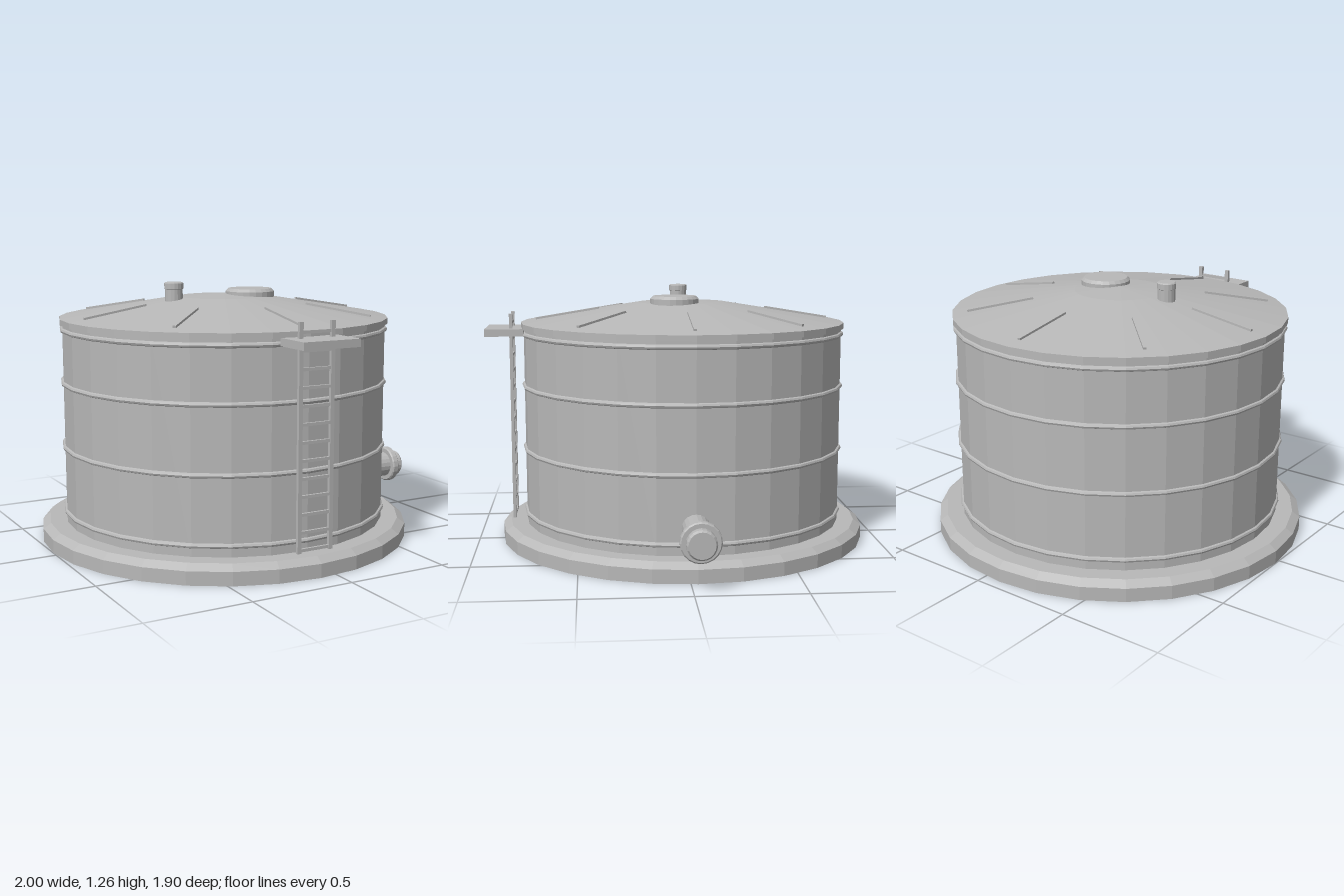
import * as THREE from 'three';

export function createModel() {
  const model = new THREE.Group();
  model.name = 'storageTank';
  const steel = new THREE.MeshStandardMaterial({ color: 0xb8b8b8, flatShading: true });
  steel.name = 'grey steel';

  const SIDES = 28;
  const CX = -0.083, CZ = -0.033; // tank axis

  const add = (parent, name, geometry, x = 0, y = 0, z = 0) => {
    const mesh = new THREE.Mesh(geometry, steel);
    mesh.name = name;
    mesh.position.set(x, y, z);
    parent.add(mesh);
    return mesh;
  };
  const lathe = (points, sides = SIDES) =>
    new THREE.LatheGeometry(points.map(([r, y]) => new THREE.Vector2(r, y)), sides);

  // Round body, centred on the tank axis
  const tank = new THREE.Group();
  tank.name = 'tank';
  tank.position.set(CX, 0, CZ);
  model.add(tank);

  add(tank, 'foundation', lathe([[0, 0], [0.917, 0], [0.917, 0.065], [0.88, 0.092], [0, 0.092]]));
  add(tank, 'shell', lathe([[0.797, 0.09], [0.797, 1.075]]));
  add(tank, 'roof', lathe([[0, 1.062], [0.81, 1.062], [0.81, 1.09], [0.22, 1.187], [0, 1.2]]));

  // Hoops around the shell
  for (const y of [0.143, 0.462, 0.777, 1.036]) {
    add(tank, 'hoop', new THREE.TorusGeometry(0.797, 0.012, 8, SIDES).rotateX(Math.PI / 2), 0, y, 0);
  }

  // Radial roof ribs, lying along the roof slope
  const slope = Math.atan2(0.097, 0.59);
  for (let i = 0; i < 8; i++) {
    const arm = new THREE.Group();
    arm.name = 'roofRibArm';
    arm.rotation.y = (i * Math.PI) / 4;
    tank.add(arm);
    add(arm, 'roofRib', new THREE.BoxGeometry(0.32, 0.018, 0.015), 0.577, 1.129, 0).rotation.z = -slope;
  }

  // Roof hatch and vent
  add(model, 'hatch', lathe([[0.12, 1.16], [0.12, 1.21], [0.107, 1.224], [0, 1.224]], 24), 0.04, 0, 0.015);
  add(model, 'vent', lathe([[0.043, 1.13], [0.043, 1.23], [0.046, 1.232], [0.046, 1.258], [0.04, 1.263], [0, 1.263]], 16),
    -0.354, 0, CZ);

  // Outlet pipe with flange, pointing to +x
  const outlet = lathe([
    [0.065, 0.66], [0.065, 0.92], [0.087, 0.92], [0.093, 0.926], [0.093, 0.951], [0.087, 0.957],
    [0.068, 0.957], [0.068, 0.99], [0.06, 1.0], [0, 1.0],
  ], 20).rotateZ(-Math.PI / 2);
  add(model, 'outletPipe', outlet, 0, 0.22, CZ);

  // Ladder and its landing
  const ladder = new THREE.Group();
  ladder.name = 'ladder';
  ladder.position.set(CX, 0, 0.822);
  model.add(ladder);
  for (const side of [-1, 1]) {
    add(ladder, 'ladderRail', new THREE.BoxGeometry(0.02, 1.03, 0.016), side * 0.082, 0.622, 0);
  }
  for (let i = 0; i < 13; i++) {
    add(ladder, 'ladderRung', new THREE.BoxGeometry(0.16, 0.014, 0.012), 0, 0.12 + i * 0.081, 0);
  }
  add(model, 'landing', new THREE.BoxGeometry(0.288, 0.036, 0.19), CX, 1.047, 0.853);

  return model;
}
